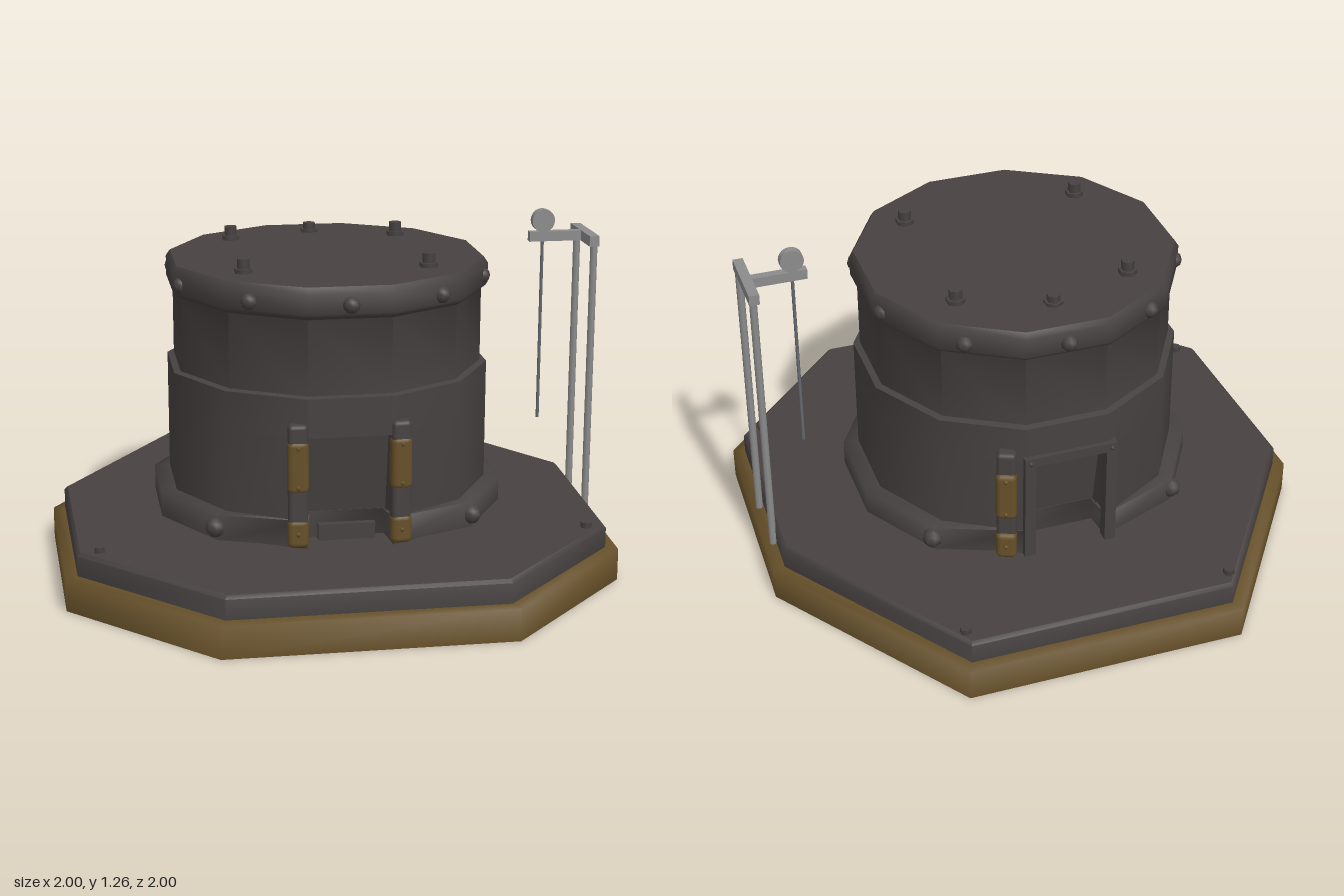
import * as THREE from 'three';
import { toCreasedNormals } from 'three/addons/utils/BufferGeometryUtils.js';
import { RoundedBoxGeometry } from 'three/addons/geometries/RoundedBoxGeometry.js';

export function createModel() {
  const root = new THREE.Group();
  const mat = (name, color, side = THREE.FrontSide) => {
    const m = new THREE.MeshStandardMaterial({ color, side });
    m.name = name;
    return m;
  };
  const iron = mat('dark iron', 0x474241, THREE.DoubleSide);
  const brass = mat('aged brass', 0x665029, THREE.DoubleSide);
  const steel = mat('grey steel', 0x8c8c8c);
  const rodSteel = mat('dull steel', 0x666a6e);

  const add = (name, geo, material, x = 0, y = 0, z = 0, parent = root) => {
    const m = new THREE.Mesh(geo, material);
    m.name = name;
    m.position.set(x, y, z);
    parent.add(m);
    return m;
  };
  const box = (name, material, w, h, d, x, y, z, parent) =>
    add(name, new THREE.BoxGeometry(w, h, d), material, x, y, z, parent);

  // Skin through closed loops of [x, y, z], lowest loop first
  const loft = (rows, crease) => {
    const pos = [];
    const n = rows[0].length;
    for (let r = 0; r < rows.length - 1; r++) {
      for (let i = 0; i < n; i++) {
        const j = (i + 1) % n;
        const a = rows[r][i], b = rows[r][j], c = rows[r + 1][j], d = rows[r + 1][i];
        pos.push(...a, ...b, ...c, ...a, ...c, ...d);
      }
    }
    const g = new THREE.BufferGeometry();
    g.setAttribute('position', new THREE.Float32BufferAttribute(pos, 3));
    g.computeVertexNormals();
    return toCreasedNormals(g, crease);
  };

  // Eight-sided base, an open shell from below: brass rim, then the iron deck
  const octagon = [[-0.5, -1], [-1, -0.27], [-0.98, 0.5], [-0.5, 1],
    [0.5, 1], [0.98, 0.5], [1, -0.27], [0.5, -1]];
  const edge = (s, y) => octagon.map(([x, z]) => [x * s, y, z * s]);
  add('baseRim', loft([edge(1, 0), edge(1, 0.115), edge(0.957, 0.118)], 1.7), brass);
  add('deckSide', loft([edge(0.957, 0.115), edge(0.957, 0.19), edge(0.945, 0.202)], 1.0), iron);
  const deckPlan = new THREE.Shape(edge(0.945, 0).map(([x, , z]) => new THREE.Vector2(x, -z)));
  add('deckTop', new THREE.ShapeGeometry(deckPlan).rotateX(-Math.PI / 2), iron, 0, 0.202, 0);

  // Foot flange, notched at both doors
  const quarter = [[0.14, 0.46], [0.15, 0.565], [0.45, 0.445], [0.62, 0.16]];
  const half = [...quarter, ...quarter.map(([x, z]) => [x, -z]).reverse()];
  const plan = [...half, ...half.map(([x, z]) => [-x, z]).reverse()];
  const flange = (s, y) => plan.map(([x, z]) => [x * s, y, z * s]);
  add('footFlange', loft([flange(1, 0.21), flange(1, 0.303), flange(0.88, 0.305)], 1.7), iron);

  // Lower drum: twelve sides, with a leaning recessed panel front and back
  const drumRow = (y, apothem, recess) => {
    const R = apothem / Math.cos(Math.PI / 12), pts = [];
    for (let k = 0; k < 12; k++) {
      const a = (15 + 30 * k) * Math.PI / 180;
      pts.push([R * Math.sin(a), y, R * Math.cos(a)]);
      if (k === 5) pts.push([0.14, y, -recess], [-0.14, y, -recess]);
      if (k === 11) pts.push([-0.14, y, recess], [0.14, y, recess]);
    }
    return pts;
  };
  add('lowerDrum', loft([drumRow(0.202, 0.565, 0.44), drumRow(0.595, 0.565, 0.51),
    drumRow(0.6, 0.565, 0.565), drumRow(0.738, 0.565, 0.565), drumRow(0.745, 0.53, 0.53)], 1.0), iron);

  // Upper drum flaring into the bevelled lid
  const c = 1 / Math.cos(Math.PI / 12);
  const profile = [[0.542, 0.735], [0.542, 1.008], [0.557, 1.018], [0.564, 1.03],
    [0.564, 1.1], [0.55, 1.122], [0, 1.122]].map(([r, y]) => new THREE.Vector2(r * c, y));
  add('upperDrumAndLid', toCreasedNormals(new THREE.LatheGeometry(profile, 12, Math.PI / 12), 1.0), iron);

  // Domed side bolts around the lid and the flange
  const dome = new THREE.SphereGeometry(0.03, 8, 6);
  for (let i = 0; i < 10; i++) {
    const a = i * Math.PI / 5;
    add('lidSideBolt', dome, iron, 0.565 * Math.sin(a), 1.06, 0.565 * Math.cos(a));
  }
  for (const x of [-0.455, 0.455]) {
    for (const z of [-0.435, 0.435]) {
      add('flangeBolt', dome, iron, x, 0.255, z).scale.setScalar(1.2);
    }
  }

  // Hexagonal bolts on the lid and the deck
  const washer = new THREE.CylinderGeometry(0.034, 0.034, 0.02, 6);
  const head = new THREE.CylinderGeometry(0.024, 0.024, 0.04, 6);
  for (const [x, z, h] of [[-0.31, -0.3, 0], [0.31, -0.29, 0], [-0.33, 0.285, 0], [0.32, 0.285, 0], [0, -0.405, -0.015]]) {
    add('lidWasher', washer, iron, x, 1.128 + h * 0.3, z);
    add('lidBolt', head, iron, x, 1.152 + h, z);
  }
  const pin = new THREE.CylinderGeometry(0.02, 0.02, 0.06, 6);
  for (const [x, z] of [[-0.485, -0.895], [0.48, -0.895], [-0.86, 0.48], [0.86, 0.49]]) {
    add('deckBolt', pin, iron, x, 0.192, z);
  }

  // Hinge post: iron bar with a brass sleeve and a brass foot
  const bar = new RoundedBoxGeometry(0.068, 0.44, 0.055, 2, 0.015);
  const sleeve = new RoundedBoxGeometry(0.074, 0.19, 0.058, 2, 0.02);
  const foot = new RoundedBoxGeometry(0.074, 0.105, 0.058, 2, 0.02);
  const rivet = new THREE.SphereGeometry(0.009, 6, 4);
  const hingePost = (x, z, turn, sleeveY, proud) => {
    const g = new THREE.Group();
    g.name = 'hingePost';
    g.position.set(x, 0, z);
    g.rotation.y = turn;
    root.add(g);
    add('postBar', bar, iron, 0, 0.43, 0, g);
    add('postSleeve', sleeve, brass, 0, sleeveY, proud, g);
    add('postFoot', foot, brass, 0, 0.262, proud, g);
    for (const y of [sleeveY - 0.07, sleeveY + 0.07, 0.262]) {
      add('postRivet', rivet, brass, 0, y, proud + 0.027, g);
    }
  };
  hingePost(-0.182, 0.55, -0.08, 0.5, 0.003);
  hingePost(0.175, 0.55, 0.08, 0.5, 0.003);
  hingePost(0.215, -0.543, Math.PI - 0.4, 0.475, 0.012);
  box('doorSill', iron, 0.2, 0.06, 0.04, 0, 0.23, 0.465);

  // Rear door frame
  const frame = new THREE.Group();
  frame.name = 'rearDoorFrame';
  root.add(frame);
  for (const x of [-0.16, 0.14]) {
    box('frameJamb', iron, 0.04, 0.4, 0.045, x, 0.4, -0.56, frame);
    add('frameBolt', rivet, iron, x, 0.605, -0.585, frame);
  }
  box('frameLintel', iron, 0.34, 0.035, 0.045, -0.01, 0.605, -0.56, frame);

  // Side gantry with pulley and hanging rod
  const gantry = new THREE.Group();
  gantry.name = 'gantry';
  root.add(gantry);
  const post = new THREE.CylinderGeometry(0.0135, 0.0135, 1.03, 8);
  for (const z of [-0.107, 0.117]) add('gantryPost', post, steel, 0.964, 0.63, z, gantry);
  box('gantryCrossbar', steel, 0.036, 0.038, 0.256, 0.962, 1.16, 0.003, gantry);
  box('gantryArm', steel, 0.2, 0.036, 0.03, 0.852, 1.16, 0, gantry);
  add('pulley', new THREE.CylinderGeometry(0.042, 0.042, 0.03, 20).rotateX(Math.PI / 2), steel, 0.803, 1.218, 0, gantry);
  add('hangingRod', new THREE.CylinderGeometry(0.006, 0.006, 0.68, 8), rodSteel, 0.803, 0.81, 0, gantry);

  return root;
}
